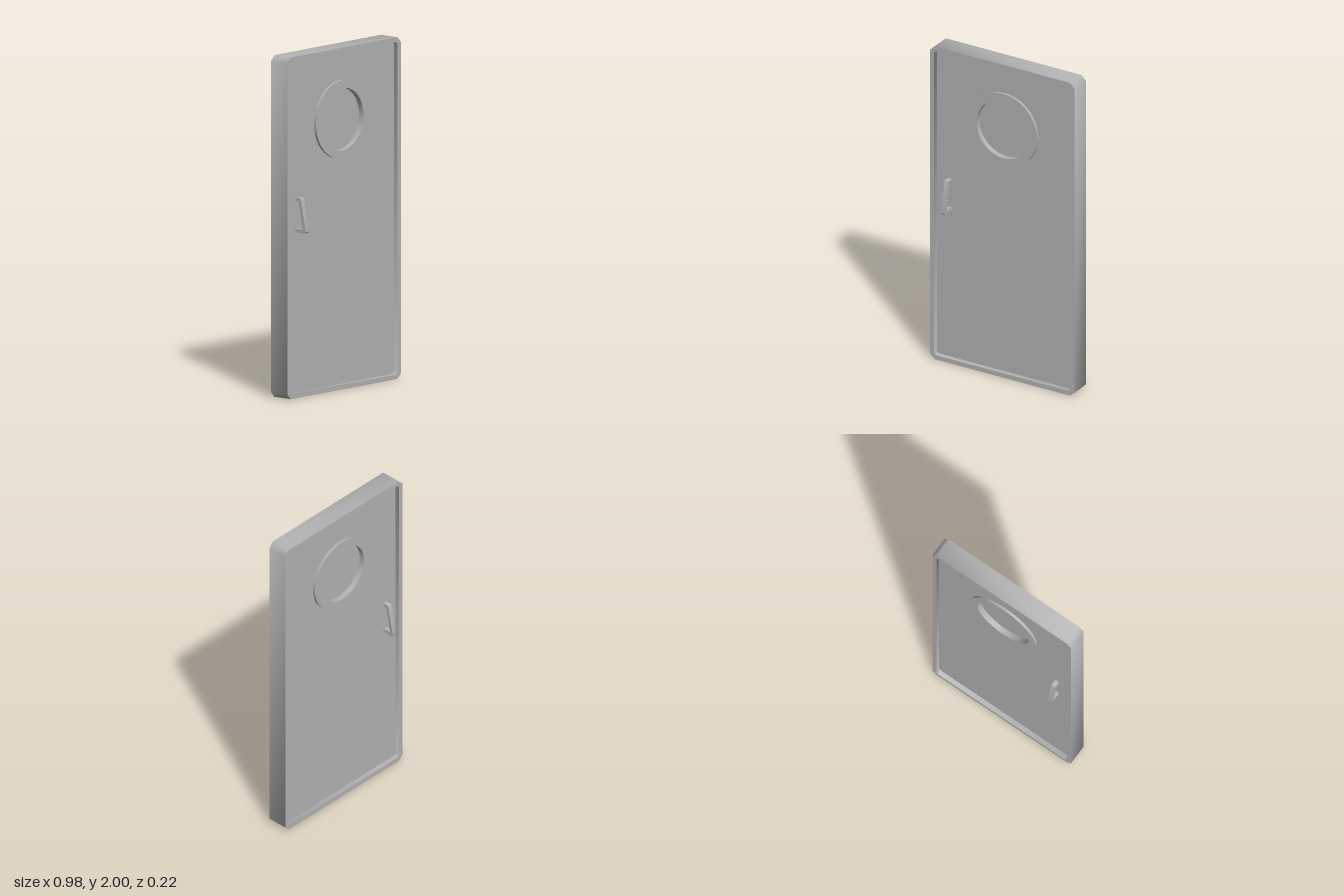
import * as THREE from 'three';
import { toCreasedNormals } from 'three/addons/utils/BufferGeometryUtils.js';

const grey = new THREE.MeshStandardMaterial({ color: 0xb3b3b3 });
grey.name = 'grey metal';

// Rectangle with cut corners, centred on the origin
function cutRect(w, h, c, target = new THREE.Shape()) {
  const x = w / 2, y = h / 2;
  return target.setFromPoints([
    [-x + c, -y], [x - c, -y], [x, -y + c], [x, y - c],
    [x - c, y], [-x + c, y], [-x, y - c], [-x, -y + c],
  ].map(([a, b]) => new THREE.Vector2(a, b)));
}

// Extrusion centred on z = 0, smooth around gentle corners
function slab(shape, depth, curveSegments = 32) {
  const g = new THREE.ExtrudeGeometry(shape, { depth, bevelEnabled: false, curveSegments });
  g.translate(0, 0, -depth / 2);
  return toCreasedNormals(g, Math.PI / 3);
}

function disc(radius, hole) {
  const s = new THREE.Shape().absarc(0, 0, radius, 0, Math.PI * 2, false);
  if (hole) s.holes.push(new THREE.Path().absarc(0, 0, hole, 0, Math.PI * 2, true));
  return s;
}

export function createModel() {
  const door = new THREE.Group();
  door.name = 'door';
  const add = (name, geometry, x, y, z = 0) => {
    const m = new THREE.Mesh(geometry, grey);
    m.name = name;
    m.position.set(x, y, z);
    door.add(m);
    return m;
  };
  const windowY = 1.578, windowR = 0.182;

  // Raised rim around the door
  const rim = cutRect(0.982, 2, 0.03);
  rim.holes.push(cutRect(0.926, 1.944, 0.014, new THREE.Path()));
  add('rim', slab(rim, 0.126), 0, 1);

  // Recessed panel with a round opening
  const panel = cutRect(0.93, 1.948, 0.014);
  panel.holes.push(new THREE.Path().absarc(0, windowY - 1, windowR + 0.01, 0, Math.PI * 2, true));
  add('panel', slab(panel, 0.068), 0, 1);

  // Porthole
  add('windowRing', slab(disc(0.228, windowR), 0.1), 0, windowY);
  add('windowPane', slab(disc(windowR + 0.005), 0.03), 0, windowY);

  // Slanted pull handle: side profile (distance from door centre, height)
  const profile = new THREE.Shape([
    [0.025, 1.167], [0.066, 1.167], [0.072, 1.163], [0.075, 1.156],
    [0.111, 0.976], [0.110, 0.968], [0.104, 0.964], [0.025, 0.964],
    [0.025, 0.985], [0.087, 0.985], [0.057, 1.146], [0.025, 1.146],
  ].map(([a, b]) => new THREE.Vector2(a, b)));
  const handle = slab(profile, 0.026).rotateY(-Math.PI / 2);
  for (const side of [1, -1]) {
    const m = add(side > 0 ? 'frontHandle' : 'backHandle', handle, -0.373, 0);
    if (side < 0) m.rotation.y = Math.PI;
  }
  return door;
}
